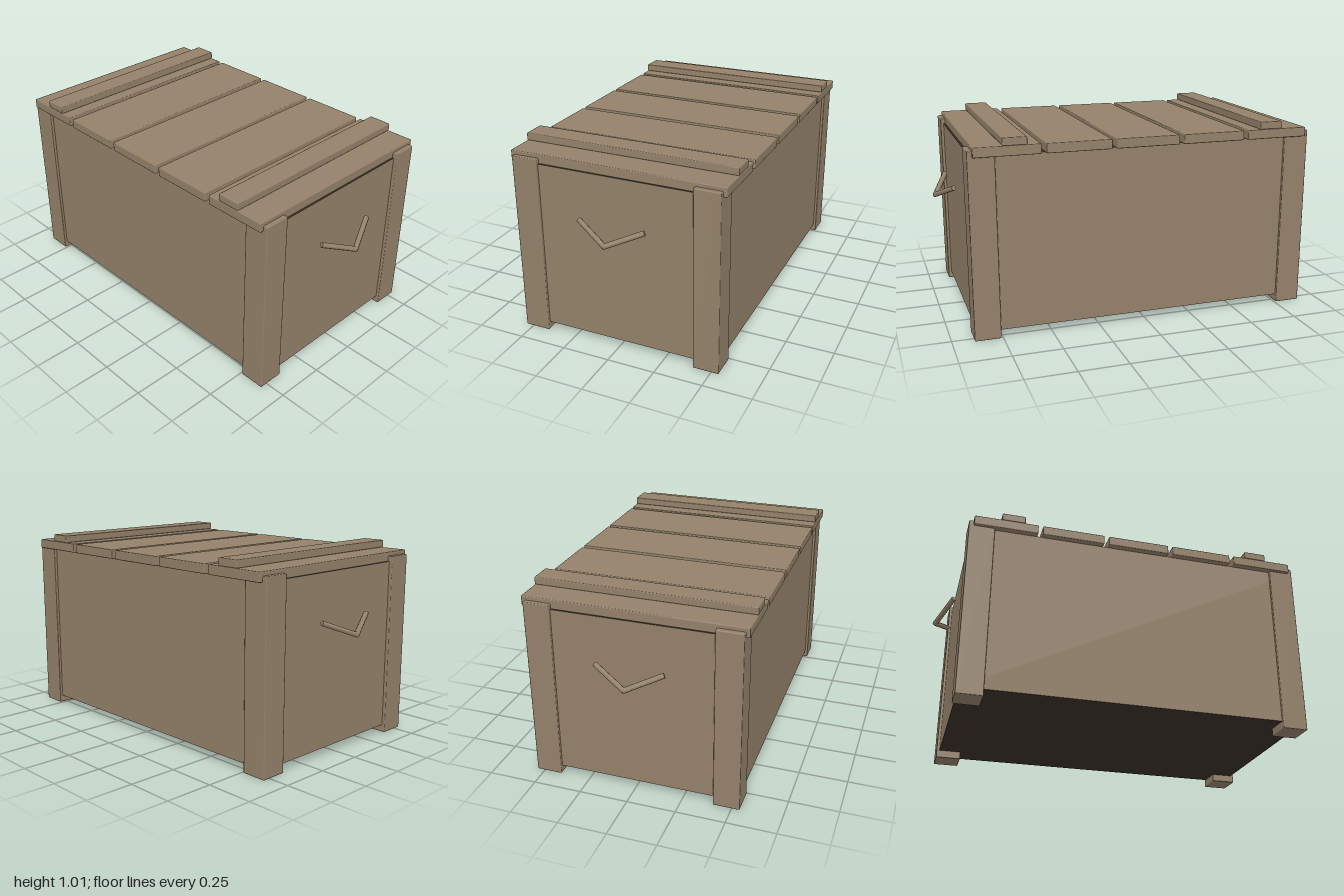
import * as THREE from 'three';
import { RoundedBoxGeometry } from 'three/addons/geometries/RoundedBoxGeometry.js';

export function createModel() {
  const crate = new THREE.Group();
  crate.name = 'crate';

  const wood = new THREE.MeshStandardMaterial({ color: 0x94816a });
  wood.name = 'wood';
  const darkWood = new THREE.MeshStandardMaterial({ color: 0x3a3229 });
  darkWood.name = 'dark wood';

  const add = (name, geometry, material = wood) => {
    const mesh = new THREE.Mesh(geometry, material);
    mesh.name = name;
    crate.add(mesh);
    return mesh;
  };

  // Board with softened edges, given by its limits on each axis
  const board = (name, [x0, x1], [y0, y1], [z0, z1]) => {
    const geometry = new RoundedBoxGeometry(x1 - x0, y1 - y0, z1 - z0, 1, 0.005);
    add(name, geometry).position.set((x0 + x1) / 2, (y0 + y1) / 2, (z0 + z1) / 2);
  };

  // Body: wooden walls, dark underside and dark top seen between the lid planks
  add('body', new THREE.BoxGeometry(1.75, 0.88, 1.05), [wood, wood, darkWood, darkWood, wood, wood])
    .position.y = 0.48;

  // Corner posts
  for (const sx of [-1, 1]) {
    for (const sz of [-1, 1]) {
      const x = sx * 0.825, z = sz * 0.4725;
      board('cornerPost', [x - 0.066, x + 0.066], [0, 0.947], [z - 0.0675, z + 0.0675]);
    }
  }

  // Lid planks
  for (let i = -2; i <= 2; i++) {
    const x = i * 0.3515;
    board('lidPlank', [x - 0.164, x + 0.164], [0.918, 0.967], [-0.559, 0.559]);
  }

  // Lid battens
  for (const s of [-1, 1]) {
    const x = s * 0.667;
    board('lidBatten', [x - 0.06, x + 0.06], [0.967, 1.006], [-0.559, 0.559]);
  }

  // V-shaped handles: two rods mitred together on the middle plane
  const up = new THREE.Vector3(0, 1, 0);
  for (const sx of [-1, 1]) {
    for (const sz of [-1, 1]) {
      const apex = new THREE.Vector3(sx * 0.984, 0.618, 0);
      const end = new THREE.Vector3(sx * 0.909, 0.688, sz * 0.173);
      const axis = end.clone().sub(apex);
      const length = axis.length();
      axis.normalize();
      const rod = new THREE.CylinderGeometry(0.0135, 0.0135, length, 8);
      rod.translate(0, length / 2, 0);
      rod.applyQuaternion(new THREE.Quaternion().setFromUnitVectors(up, axis));
      rod.translate(apex.x, apex.y, apex.z);
      // Slide the inner ring along the rod until it meets the middle plane
      const p = rod.attributes.position;
      const v = new THREE.Vector3();
      for (let i = 0; i < p.count; i++) {
        v.fromBufferAttribute(p, i);
        if (v.distanceTo(apex) < 0.03) {
          v.addScaledVector(axis, -v.z / axis.z);
          p.setXYZ(i, v.x, v.y, v.z);
        }
      }
      add(sx > 0 ? 'leftHandle' : 'rightHandle', rod);
    }
  }

  return crate;
}
